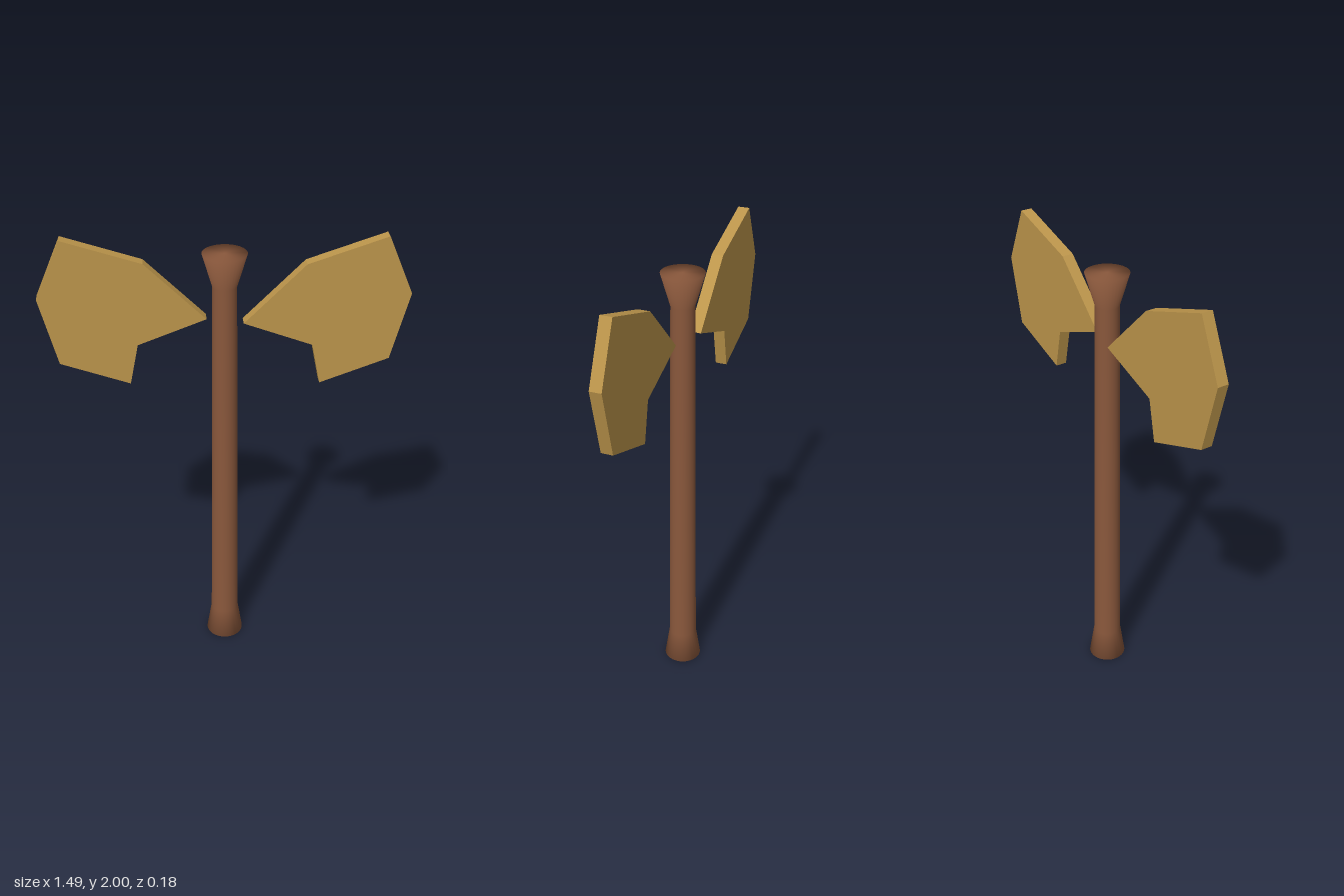
import * as THREE from 'three';

export function createModel() {
  const wood = new THREE.MeshStandardMaterial({ color: 0x8a583c });
  wood.name = 'brown wood';
  const gold = new THREE.MeshStandardMaterial({ color: 0xbc954b });
  gold.name = 'dull gold';

  const group = new THREE.Group();
  group.name = 'doubleAxe';

  // Handle: tapered shaft with flared foot and head, shaded smoothly over the caps
  const profile = [
    [0, 0], [0.083, 0], [0.062, 0.14], [0.05, 1.79], [0.091, 1.93], [0, 1.93],
  ].map(([r, y]) => new THREE.Vector2(r, y));
  const handle = new THREE.Mesh(new THREE.LatheGeometry(profile, 32), wood);
  handle.name = 'handle';
  group.add(handle);

  // Blades: one angular plate, repeated by a half turn about the handle
  const outline = [
    [0.073, 1.647], [0.355, 1.54], [0.391, 1.363], [0.676, 1.467],
    [0.747, 1.755], [0.64, 2], [0.321, 1.894],
  ].map(([x, y]) => new THREE.Vector2(x, y));
  const bladeGeometry = new THREE.ExtrudeGeometry(new THREE.Shape(outline), {
    depth: 0.05, bevelEnabled: false,
  });
  for (const [name, turn] of [['leftBlade', 0], ['rightBlade', Math.PI]]) {
    const blade = new THREE.Mesh(bladeGeometry, gold);
    blade.name = name;
    blade.rotation.y = turn;
    group.add(blade);
  }

  return group;
}
